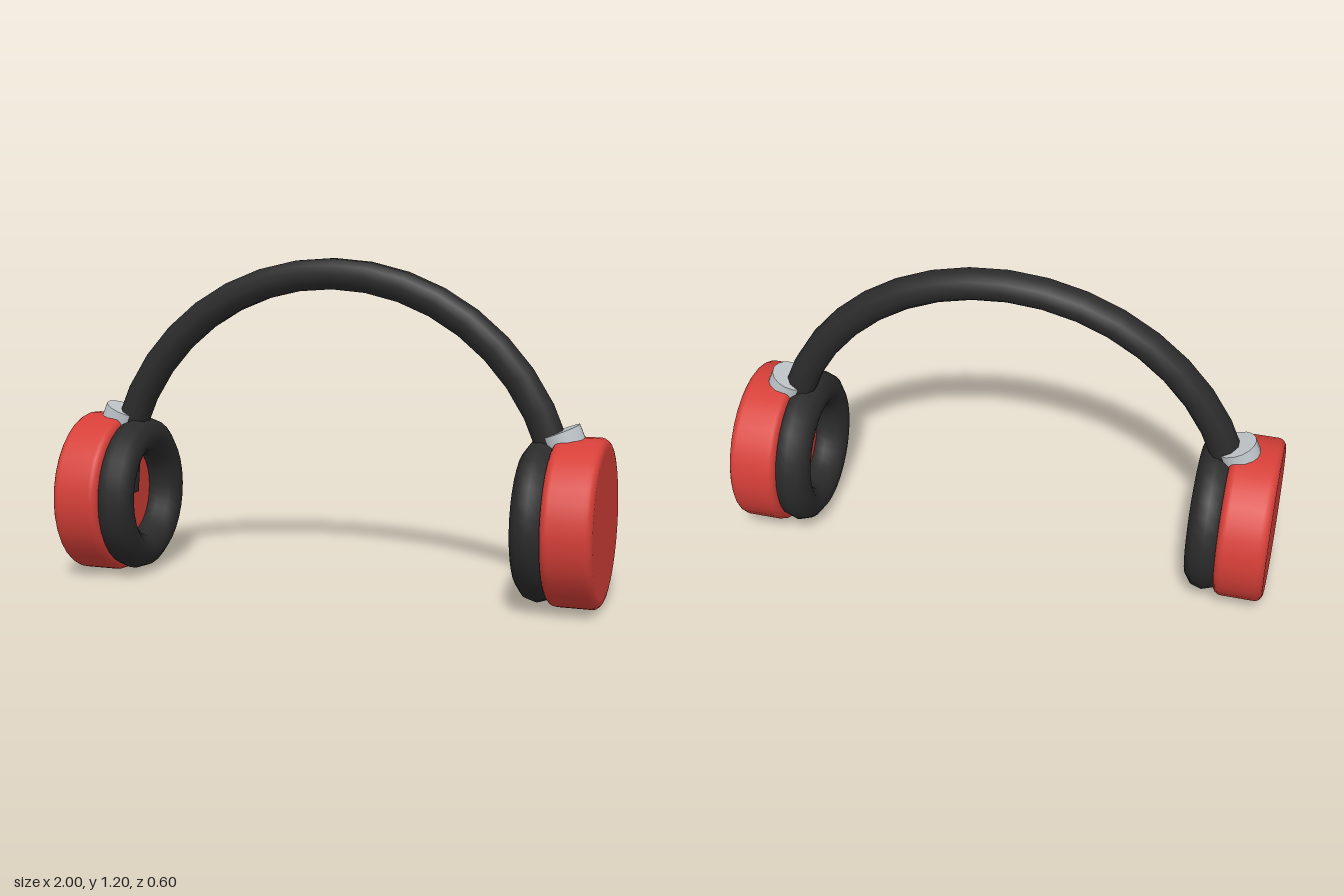
import * as THREE from 'three';

const CUP_Y = 0.302;      // height of the ear cup axis
const BAND_RADIUS = 0.85;

// Half circle from one ear cup over the top to the other
class BandArc extends THREE.Curve {
  getPoint(t, target = new THREE.Vector3()) {
    const a = Math.PI * t;
    return target.set(BAND_RADIUS * Math.cos(a), BAND_RADIUS * Math.sin(a), 0);
  }
}

// Disc profile with rounded rims, turned around the y axis
function cupGeometry(radius, depth, bevel) {
  const half = depth / 2;
  const points = [new THREE.Vector2(0, -half), new THREE.Vector2(radius - bevel - 0.01, -half)];
  for (const end of [-1, 1]) {
    for (let i = 0; i <= 4; i++) {
      const a = (end < 0 ? i - 4 : i) * Math.PI / 8;
      points.push(new THREE.Vector2(
        radius - bevel + bevel * Math.cos(a),
        end * (half - bevel) + bevel * Math.sin(a)
      ));
    }
  }
  points.push(new THREE.Vector2(radius - bevel - 0.01, half), new THREE.Vector2(0, half));
  return new THREE.LatheGeometry(points, 32);
}

export function createModel() {
  const model = new THREE.Group();
  model.name = 'headphones';

  const red = new THREE.MeshStandardMaterial({ color: 0xd63f38 });
  red.name = 'red shell';
  const black = new THREE.MeshStandardMaterial({ color: 0x2b2b2b });
  black.name = 'black padding';
  const silver = new THREE.MeshStandardMaterial({ color: 0xc0c6cb });
  silver.name = 'silver metal';

  function add(parent, name, geometry, material, x, y) {
    const mesh = new THREE.Mesh(geometry, material);
    mesh.name = name;
    mesh.position.set(x, y, 0);
    parent.add(mesh);
    return mesh;
  }

  // Headband
  add(model, 'headband', new THREE.TubeGeometry(new BandArc(), 20, 0.058, 10), black, 0, 0.3);

  const shell = cupGeometry(0.3, 0.18, 0.03).rotateZ(-Math.PI / 2);
  const cushion = new THREE.TorusGeometry(0.22, 0.07, 10, 32).rotateY(Math.PI / 2);
  const collar = new THREE.CylinderGeometry(0.075, 0.075, 0.08, 16);
  const bandEnd = new THREE.CircleGeometry(0.058, 10).rotateX(Math.PI / 2);

  // Ear pieces on both sides
  for (const [side, name] of [[1, 'left'], [-1, 'right']]) {
    const ear = new THREE.Group();
    ear.name = name + 'EarPiece';
    add(ear, name + 'CupShell', shell, red, side * 0.91, CUP_Y);
    add(ear, name + 'Cushion', cushion, black, side * 0.777, CUP_Y);
    add(ear, name + 'BandEnd', bandEnd, black, side * BAND_RADIUS, 0.3);
    // Joint tilted along the band
    add(ear, name + 'Joint', collar, silver, side * 0.848, 0.583).rotation.z = side * 0.39;
    model.add(ear);
  }
  return model;
}
